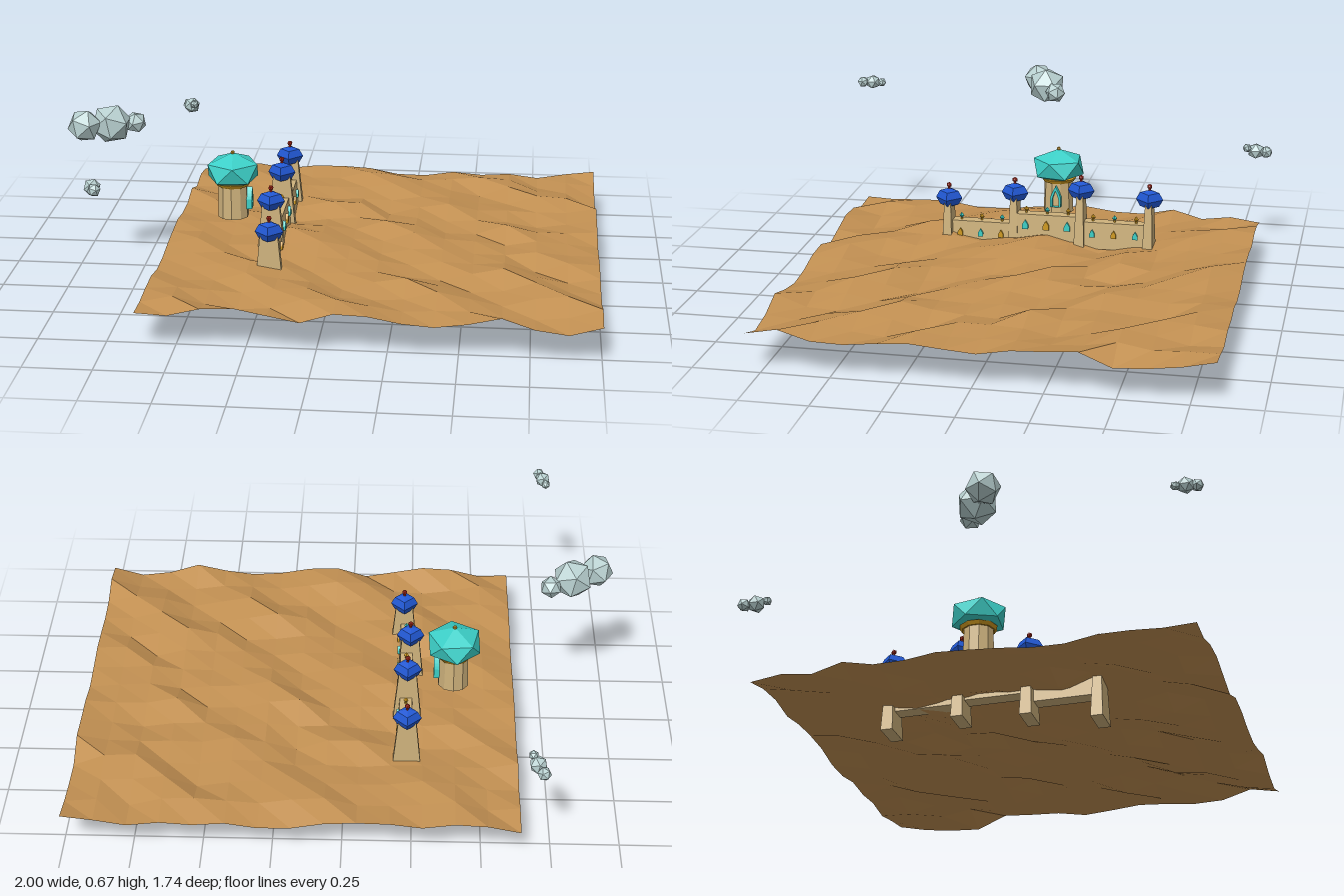
import * as THREE from 'three';

const paint = (color) => new THREE.MeshStandardMaterial({ color, flatShading: true, side: THREE.DoubleSide });
const SAND = paint(0xceb27c), EARTH = paint(0xc29052), BLUE = paint(0x2158d4), TEAL = paint(0x3cd0c8);
const GOLD = paint(0xd09a20), RED = paint(0xb02818), CLOUD = paint(0xb8d0d0);

function add(parent, name, geometry, material, x = 0, y = 0, z = 0) {
  const mesh = new THREE.Mesh(geometry, material);
  mesh.name = name;
  mesh.position.set(x, y, z);
  parent.add(mesh);
  return mesh;
}

function group(parent, name, x = 0, y = 0, z = 0) {
  const g = new THREE.Group();
  g.name = name;
  g.position.set(x, y, z);
  parent.add(g);
  return g;
}

// Repeatable noise in -1..1
function noise(i, j) {
  const s = Math.sin(i * 127.1 + j * 311.7) * 43758.5453;
  return 2 * (s - Math.floor(s)) - 1;
}

// Faceted rough ground with slight ridges running diagonally
function groundGeometry() {
  const size = 1.64, n = 14;
  const g = new THREE.PlaneGeometry(size, size, n, n).rotateX(-Math.PI / 2).rotateY(Math.PI / 2);
  const p = g.attributes.position;
  for (let k = 0; k < p.count; k++) {
    const i = Math.round((p.getX(k) / size + 0.5) * n);
    const j = Math.round((p.getZ(k) / size + 0.5) * n);
    p.setY(k, 0.139 + 0.013 * Math.sin((i - j) * 1.5) + 0.018 * noise(i, j));
  }
  g.computeVertexNormals();
  return g;
}

// Box that narrows towards the top, standing on y = 0
function taperedBox(bottomX, bottomZ, topX, topZ, height) {
  const g = new THREE.BoxGeometry(1, height, 1).translate(0, height / 2, 0);
  const p = g.attributes.position;
  for (let k = 0; k < p.count; k++) {
    const top = p.getY(k) > height / 2;
    p.setX(k, p.getX(k) * (top ? topX : bottomX));
    p.setZ(k, p.getZ(k) * (top ? topZ : bottomZ));
  }
  return g;
}

function pointedArch(target, w, h) {
  target.moveTo(-w, 0);
  target.lineTo(w, 0);
  target.lineTo(w, h * 0.45);
  target.quadraticCurveTo(w * 0.7, h * 0.72, 0, h);
  target.quadraticCurveTo(-w * 0.7, h * 0.72, -w, h * 0.45);
  target.closePath();
  return target;
}

// Arch outline given depth and turned to face +x
function archGeometry(shape, depth) {
  return new THREE.ExtrudeGeometry(shape, { depth, bevelEnabled: false, curveSegments: 4 }).rotateY(Math.PI / 2);
}

function addTower(parent, x, y, z) {
  const tower = group(parent, 'tower', x, y, z);
  add(tower, 'towerShaft', taperedBox(0.12, 0.046, 0.066, 0.026, 0.275), SAND);
  // Four-sided dome with its corners along x and z
  const dome = add(tower, 'towerDome', new THREE.SphereGeometry(0.053, 4, 4), BLUE, 0, 0.289, 0);
  dome.scale.y = 0.74;
  add(tower, 'finialStem', new THREE.CylinderGeometry(0.004, 0.006, 0.025, 6), RED, 0, 0.33, 0);
  add(tower, 'finialBall', new THREE.IcosahedronGeometry(0.011, 0), RED, 0, 0.341, 0);
}

// Wall running along z, with three arched ornaments on its face and three knobs along its top
function addWall(parent, z0, z1, bottom, top, mats, r) {
  const wall = group(parent, 'wall', -0.225, bottom, (z0 + z1) / 2);
  const h = top - bottom, length = Math.abs(z1 - z0);
  add(wall, 'wallBody', taperedBox(0.062, length, 0.046, length, h), SAND);
  for (let k = -1; k <= 1; k++) {
    const z = -k * length * 0.34;
    const arch = pointedArch(new THREE.Shape(), r, r * 3);
    add(wall, 'faceOrnament', archGeometry(arch, 0.014), mats[Math.abs(k)], 0.021, h - 0.058, z);
    add(wall, 'topStem', new THREE.CylinderGeometry(0.004, 0.005, 0.012, 5), GOLD, 0, h + 0.004, z);
    const knob = add(wall, 'topKnob', new THREE.OctahedronGeometry(0.01, 0), mats[1 - Math.abs(k)], 0, h + 0.015, z);
    knob.scale.y = 1.3;
  }
}

function addPavilion(parent) {
  const hall = group(parent, 'pavilion', -0.405, 0, -0.05);
  add(hall, 'pavilionDrum', new THREE.CylinderGeometry(0.056, 0.06, 0.14, 10), SAND, 0, 0.272, 0);
  add(hall, 'cornice', new THREE.CylinderGeometry(0.071, 0.062, 0.014, 10), GOLD, 0, 0.335, 0);
  // Icosahedron turned so one corner points up
  const domeGeo = new THREE.IcosahedronGeometry(0.112, 0).rotateZ(Math.atan(2 / (1 + Math.sqrt(5))));
  const dome = add(hall, 'pavilionDome', domeGeo.rotateY(0.42), TEAL, 0, 0.386, 0);
  dome.scale.y = 0.63;
  add(hall, 'domeTip', new THREE.IcosahedronGeometry(0.009, 0), GOLD, 0, 0.457, 0);
  // Open pointed doorway frame facing +x
  const frame = pointedArch(new THREE.Shape(), 0.021, 0.085);
  frame.holes.push(pointedArch(new THREE.Path(), 0.013, 0.066));
  add(hall, 'doorFrame', archGeometry(frame, 0.025), TEAL, 0.05, 0.236, 0);
}

function addCloud(parent, puffs) {
  const cloud = group(parent, 'cloud');
  puffs.forEach(([x, y, z, r], k) => {
    const puff = add(cloud, 'cloudPuff', new THREE.IcosahedronGeometry(r, 0), CLOUD, x, y, z);
    puff.rotation.set(0.4 * k, 0.7 * k, 0.2);
  });
}

export function createModel() {
  const model = new THREE.Group();
  model.name = 'desertFort';

  add(model, 'ground', groundGeometry(), EARTH, 0.18, 0, -0.017);

  // Row of towers, each standing at its own height
  addTower(model, -0.215, 0.0, 0.355);
  addTower(model, -0.24, 0.028, 0.095);
  addTower(model, -0.23, 0.055, -0.17);
  addTower(model, -0.23, 0.034, -0.44);

  // Walls between the towers
  addWall(model, 0.345, 0.105, 0.092, 0.2, [TEAL, GOLD], 0.01);
  addWall(model, 0.085, -0.16, 0.13, 0.242, [TEAL, GOLD].reverse(), 0.012);
  addWall(model, -0.18, -0.43, 0.118, 0.224, [GOLD, TEAL], 0.01);

  addPavilion(model);

  // Floating clouds
  addCloud(model, [[-0.845, 0.6, 0.08, 0.078], [-0.938, 0.605, 0.13, 0.065], [-0.762, 0.593, 0.03, 0.042]]);
  addCloud(model, [[-0.767, 0.6, 0.808, 0.031], [-0.753, 0.602, 0.846, 0.024], [-0.778, 0.597, 0.772, 0.018]]);
  addCloud(model, [[-0.686, 0.41, -0.81, 0.034], [-0.705, 0.402, -0.85, 0.026], [-0.67, 0.425, -0.775, 0.018]]);

  return model;
}
